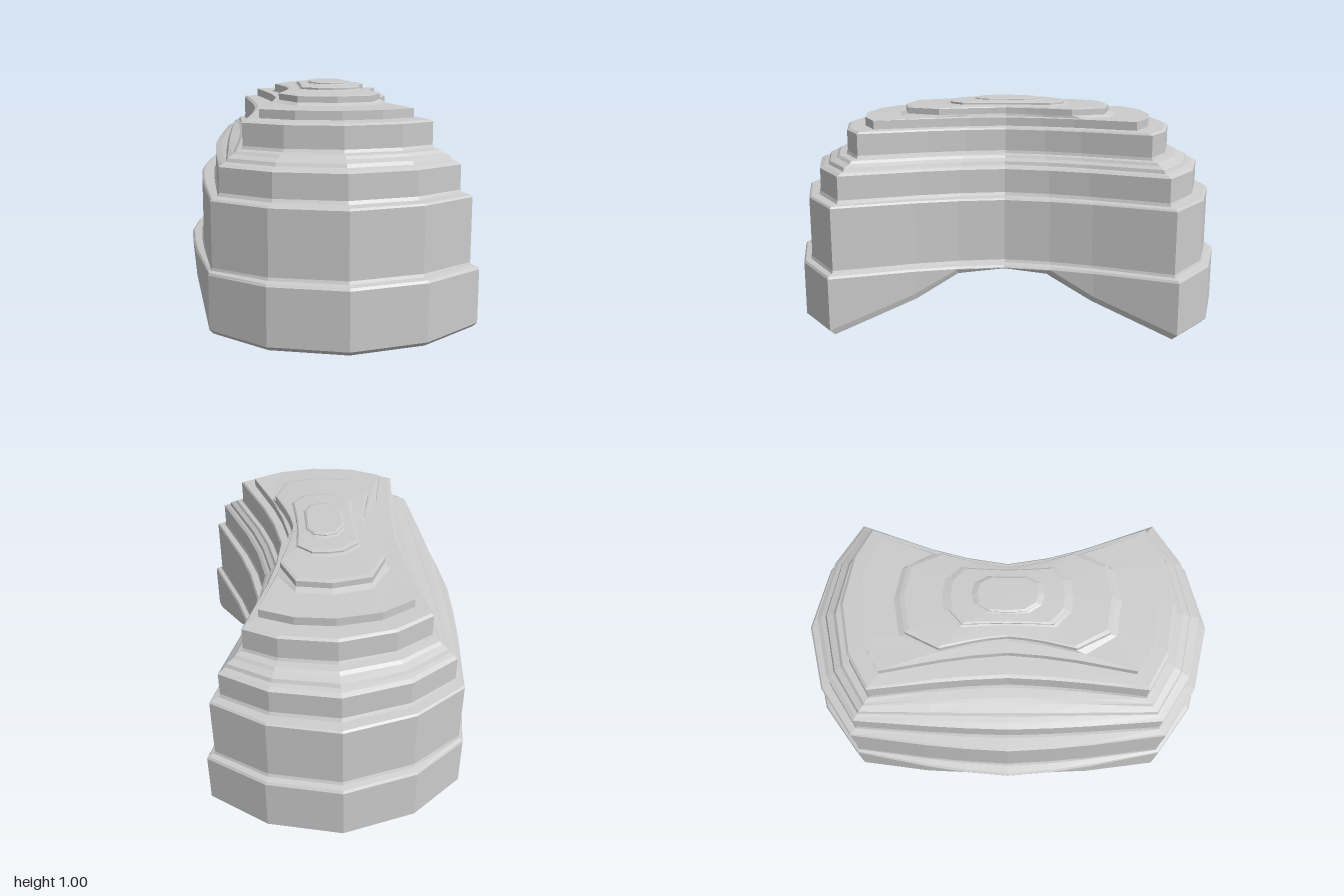
import * as THREE from 'three';

// Half outlines of the tiers: end z, right shoulder x z, right corner x z,
// right waist x, left shoulder x z, left corner x z, left waist x
const TIERS = [
  [1.0, 0.37, 0.92, 0.615, 0.75, 0.41, -0.27, 0.92, -0.5, 0.75, -0.615],
  [0.96, 0.355, 0.885, 0.58, 0.735, 0.375, -0.26, 0.885, -0.485, 0.735, -0.56],
  [0.9, 0.335, 0.835, 0.535, 0.71, 0.33, -0.24, 0.835, -0.45, 0.7, -0.49],
  [0.76, 0.29, 0.715, 0.43, 0.64, 0.25, -0.19, 0.715, -0.355, 0.62, -0.3],
  [0.67, 0.22, 0.645, 0.36, 0.58, 0.21, -0.14, 0.645, -0.285, 0.565, -0.2],
  [0.48, 0.2, 0.45, 0.26, 0.3, 0.19, -0.12, 0.45, -0.195, 0.3, -0.14],
  [0.27, 0.12, 0.26, 0.18, 0.2, 0.17, -0.02, 0.26, -0.09, 0.2, -0.085],
  [0.15, 0.1, 0.135, 0.13, 0.08, 0.13, 0.0, 0.135, -0.035, 0.08, -0.04],
];
const CX = 0.05;

// Height profile: [tier (fractions blend two tiers), y]
const PROFILE = [
  [0, 0.267], [0.2, 0.277], [0.85, 0.283], [1, 0.295],
  [1, 0.57], [1.15, 0.578], [1.85, 0.583], [2, 0.597],
  [2, 0.702], [2.15, 0.712], [2.3, 0.718], [2.36, 0.733], [2.6, 0.745], [2.7, 0.757], [2.95, 0.762], [3, 0.775],
  [3, 0.87], [3.15, 0.878], [4, 0.882],
  [4, 0.92], [4.85, 0.924], [5, 0.935],
  [5, 0.962], [5.1, 0.966], [5.9, 0.97], [6, 0.974],
  [6, 0.982], [6.15, 0.986], [6.9, 0.988], [7, 0.992],
  [7, 0.996], [7.2, 1.0],
];

// Full ring of [x, z], running from the +z end round by the right side
function outline(t) {
  const i = Math.min(Math.floor(t), TIERS.length - 1);
  const next = TIERS[i + 1] || TIERS[i].map((v, k) =>
    [0, 2, 4, 7, 9].includes(k) ? v * 0.5 : CX + (v - CX) * 0.5);
  const p = TIERS[i].map((v, k) => v + (next[k] - v) * (t - i));
  const side = (sx, sz, cx, cz, w) => [
    [sx, sz], [cx, cz],
    [w + (cx - w) * 0.4, cz * 0.53], [w + (cx - w) * 0.16, cz * 0.28], [w, 0],
  ];
  const withBack = (half) => [
    ...half, ...half.slice(0, -1).reverse().map(([x, z]) => [x, -z]),
  ];
  const right = withBack(side(p[1], p[2], p[3], p[4], p[5]));
  const left = withBack(side(p[6], p[7], p[8], p[9], p[10])).reverse();
  // the left side runs from back to front
  return [[CX, p[0]], ...right, [CX, -p[0]],
    ...left.map(([x, z]) => [x, z])];
}

// Height of the arched underside away from its rim
function archY(z) {
  const k = [[0, 0.26], [0.2, 0.225], [0.4, 0.11], [0.53, 0]];
  const a = Math.abs(z);
  for (let i = 1; i < k.length; i++) {
    if (a <= k[i][0]) {
      return THREE.MathUtils.mapLinear(a, k[i - 1][0], k[i][0], k[i - 1][1], k[i][1]);
    }
  }
  return 0;
}

// Height of the lower rim, by position along the half outline
const RIM = [0, 0, 0.012, 0.14, 0.245, 0.26];
function rimY(j) {
  const m = j % 10;
  return RIM[m <= 5 ? m : 10 - m];
}

function loft(rings) {
  const n = rings[0].length;
  const pos = rings.flat(2);
  const index = [];
  for (let r = 0; r < rings.length - 1; r++) {
    for (let j = 0; j < n; j++) {
      const a = r * n + j;
      const b = r * n + (j + 1) % n;
      if (r > 0) index.push(a, b, b + n);
      if (r < rings.length - 2) index.push(a, b + n, a + n);
    }
  }
  // close the degenerate first and last rings as fans
  const geometry = new THREE.BufferGeometry();
  geometry.setAttribute('position', new THREE.Float32BufferAttribute(pos, 3));
  geometry.setIndex(index);
  const flat = geometry.toNonIndexed();
  flat.computeVertexNormals();
  return flat;
}

export function createModel() {
  const group = new THREE.Group();
  group.name = 'steppedMound';
  const material = new THREE.MeshStandardMaterial({ color: 0xcccccc, flatShading: true });
  const base = outline(0);
  const point = (s, yOf) => base.map(([x, z], j) => [CX + (x - CX) * s, yOf(z * s, j), z * s]);

  // Arched underside, from its crown out to the rim
  const under = [0, 0.2, 0.4, 0.53].map((s) => point(s, archY));
  under.push(point(0.975, (z, j) => rimY(j)));

  // Bevelled rim, stepped walls and flat top
  const rim = point(1, (z, j) => Math.min(rimY(j) + 0.022, 0.264));
  const walls = PROFILE.map(([t, y]) => outline(t).map(([x, z]) => [x, y, z]));
  const crown = base.map(() => [CX, 1, 0]);

  const body = new THREE.Mesh(loft([...under, rim, ...walls, crown]), material);
  body.name = 'tieredBody';
  group.add(body);
  return group;
}
